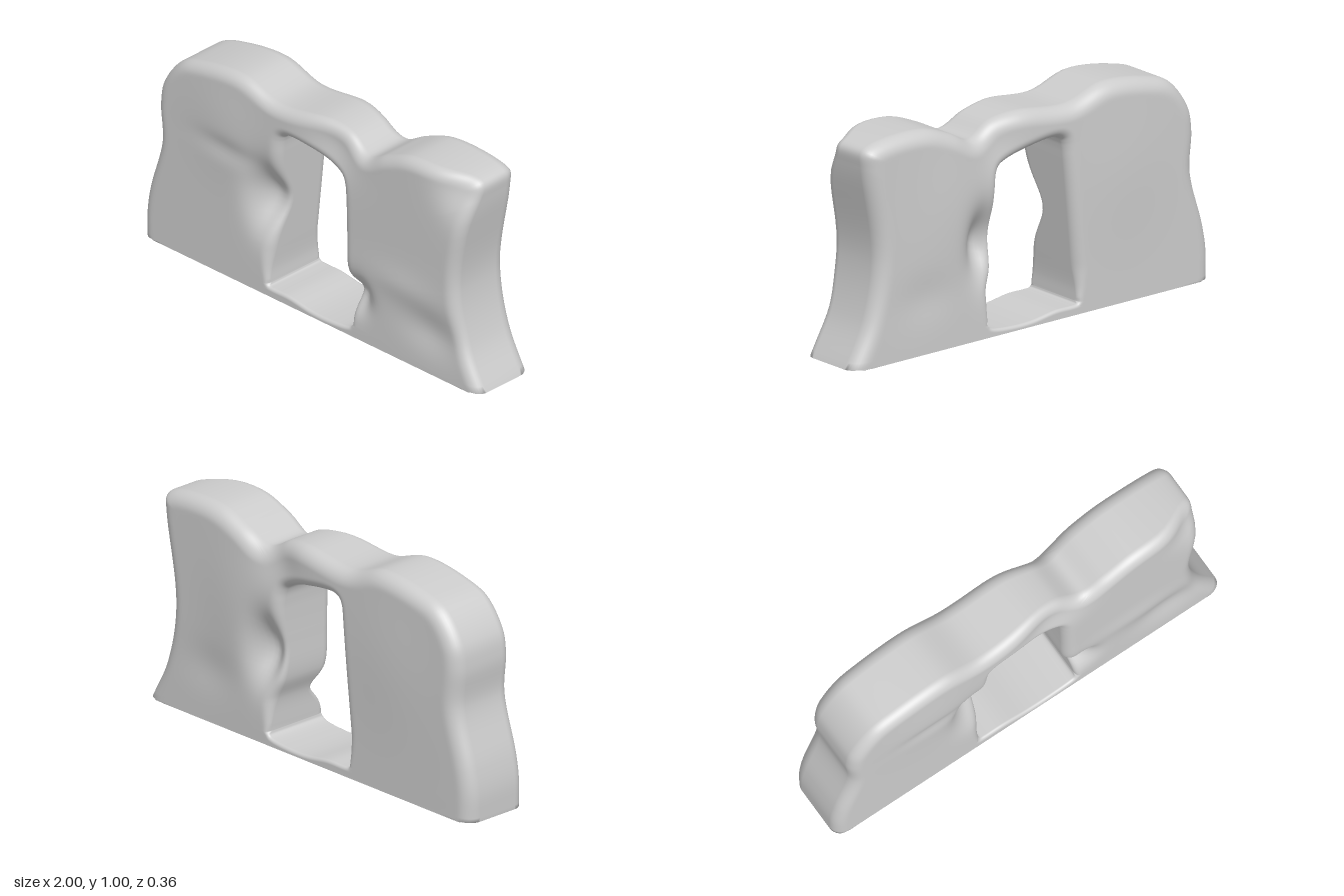
import * as THREE from 'three';

const HALF = 0.165; // half thickness of the wall
const STEPS = 7; // stations between control pairs
const ROWS = 40; // rows from outer edge to opening

// Control pairs [outer x, outer y, opening x, opening y]
const ARCH = [
  [-1, 0, -0.255, 0.055], [-1, 0.13, -0.257, 0.12], [-0.98, 0.25, -0.245, 0.25],
  [-0.91, 0.5, -0.225, 0.45], [-0.92, 0.68, -0.21, 0.6], [-0.9, 0.79, -0.2, 0.7],
  [-0.8, 0.92, -0.195, 0.75], [-0.68, 0.965, -0.19, 0.775], [-0.43, 0.995, -0.18, 0.795],
  [-0.23, 0.94, -0.14, 0.81], [0.05, 0.965, 0.03, 0.79], [0.18, 0.945, 0.13, 0.76],
  [0.3, 0.885, 0.165, 0.74], [0.42, 0.94, 0.18, 0.71], [0.58, 0.995, 0.187, 0.66],
  [0.85, 0.985, 0.19, 0.6], [0.91, 0.955, 0.192, 0.53], [0.91, 0.87, 0.193, 0.47],
  [0.85, 0.48, 0.2, 0.3], [0.9, 0.2, 0.235, 0.2], [1, 0, 0.245, 0.06],
];
const SILL = [
  [1, 0, 0.245, 0.06], [0.6, 0, 0.24, 0.045], [0.3, 0, 0.22, 0.034], [0.1, 0, 0.1, 0.022],
  [0, 0, 0, 0.024], [-0.13, 0, -0.13, 0.042], [-0.3, 0, -0.22, 0.042],
  [-0.6, 0, -0.25, 0.045], [-1, 0, -0.255, 0.055],
];

// Weathering: [x, y, radius x, radius y, depth], negative depth bulges out
const FRONT_DENTS = [
  [-0.27, 0.45, 0.09, 0.14, 0.11], [0.27, 0.21, 0.07, 0.07, 0.07],
  [0.14, 0.9, 0.15, 0.12, 0.04], [0.9, 0.96, 0.12, 0.13, 0.08],
  [-0.5, 0.72, 0.2, 0.2, -0.013], [-0.5, 0.62, 0.15, 0.05, 0.012],
  [0.72, 0.2, 0.16, 0.09, 0.022], [0.55, 0.36, 0.2, 0.07, -0.01],
];
const BACK_DENTS = [
  [0.27, 0.42, 0.08, 0.14, 0.1], [0.2, 0.88, 0.12, 0.14, 0.03],
  [0.45, 0.6, 0.18, 0.3, -0.014], [-0.5, 0.6, 0.25, 0.3, -0.012],
  [0.6, 0.25, 0.15, 0.1, 0.01],
];

function sample(pairs, k) {
  const curve = new THREE.CatmullRomCurve3(
    pairs.map((p) => new THREE.Vector3(p[k], p[k + 1], 0)), false, 'centripetal');
  const n = (pairs.length - 1) * STEPS;
  return Array.from({ length: n + 1 }, (_, i) => curve.getPoint(i / n));
}

// Shortest distance from (x, y) to a polyline
function distanceTo(line, x, y) {
  let best = Infinity;
  for (let i = 0; i < line.length - 1; i++) {
    const a = line[i], dx = line[i + 1].x - a.x, dy = line[i + 1].y - a.y;
    const t = THREE.MathUtils.clamp(((x - a.x) * dx + (y - a.y) * dy) / (dx * dx + dy * dy || 1), 0, 1);
    best = Math.min(best, Math.hypot(x - a.x - t * dx, y - a.y - t * dy));
  }
  return best;
}

// How far a rounded edge of radius r drops at distance d from the edge
const edgeDrop = (d, r) => (d >= r ? 0 : r - Math.sqrt(r * r - (r - d) * (r - d)));

function archGeometry() {
  const outerArch = sample(ARCH, 0), innerArch = sample(ARCH, 2);
  const outerSill = sample(SILL, 0), innerSill = sample(SILL, 2);
  const outer = [...outerArch, ...outerSill.slice(1, -1)];
  const inner = [...innerArch, ...innerSill.slice(1, -1)];
  const n = outer.length, archEnd = outerArch.length - 1;
  const positions = [], index = [];

  // Front and back faces: rings between outline and opening, rounded at both
  for (const side of [1, -1]) {
    const dents = side > 0 ? FRONT_DENTS : BACK_DENTS;
    const outerRadius = side > 0 ? 0.055 : 0.07;
    for (let i = 0; i < n; i++) {
      for (let j = 0; j <= ROWS; j++) {
        const t = (1 - Math.cos((Math.PI * j) / ROWS)) / 2;
        const x = THREE.MathUtils.lerp(outer[i].x, inner[i].x, t);
        const y = THREE.MathUtils.lerp(outer[i].y, inner[i].y, t);
        let z = HALF - edgeDrop(distanceTo(outerArch, x, y), outerRadius);
        z -= edgeDrop(distanceTo(innerArch, x, y), 0.05 * Math.min(1, 0.2 + y * 4));
        z -= edgeDrop(distanceTo(innerSill, x, y), 0.015);
        const ground = THREE.MathUtils.smoothstep(y, 0, 0.08);
        for (const [cx, cy, rx, ry, depth] of dents) {
          z -= ground * depth * Math.exp(-(((x - cx) / rx) ** 2) - ((y - cy) / ry) ** 2);
        }
        positions.push(x, y, side * z);
      }
    }
  }

  const at = (back, i, j) => (back * n + (i % n)) * (ROWS + 1) + j;
  const quad = (a, b, c, d) => index.push(a, b, c, b, d, c);
  for (let i = 0; i < n; i++) {
    for (let j = 0; j < ROWS; j++) {
      quad(at(0, i, j), at(0, i, j + 1), at(0, i + 1, j), at(0, i + 1, j + 1));
      quad(at(1, i, j), at(1, i + 1, j), at(1, i, j + 1), at(1, i + 1, j + 1));
    }
    // Walls round the outside (open underneath) and through the opening
    if (i < archEnd) quad(at(0, i, 0), at(0, i + 1, 0), at(1, i, 0), at(1, i + 1, 0));
    quad(at(0, i, ROWS), at(1, i, ROWS), at(0, i + 1, ROWS), at(1, i + 1, ROWS));
  }

  const geometry = new THREE.BufferGeometry();
  geometry.setAttribute('position', new THREE.Float32BufferAttribute(positions, 3));
  geometry.setIndex(index);
  geometry.computeVertexNormals();
  return geometry;
}

export function createModel() {
  const group = new THREE.Group();
  group.name = 'rockArch';
  const stone = new THREE.MeshStandardMaterial({ color: 0xcccccc, side: THREE.DoubleSide });
  const arch = new THREE.Mesh(archGeometry(), stone);
  arch.name = 'stoneArch';
  group.add(arch);
  return group;
}
